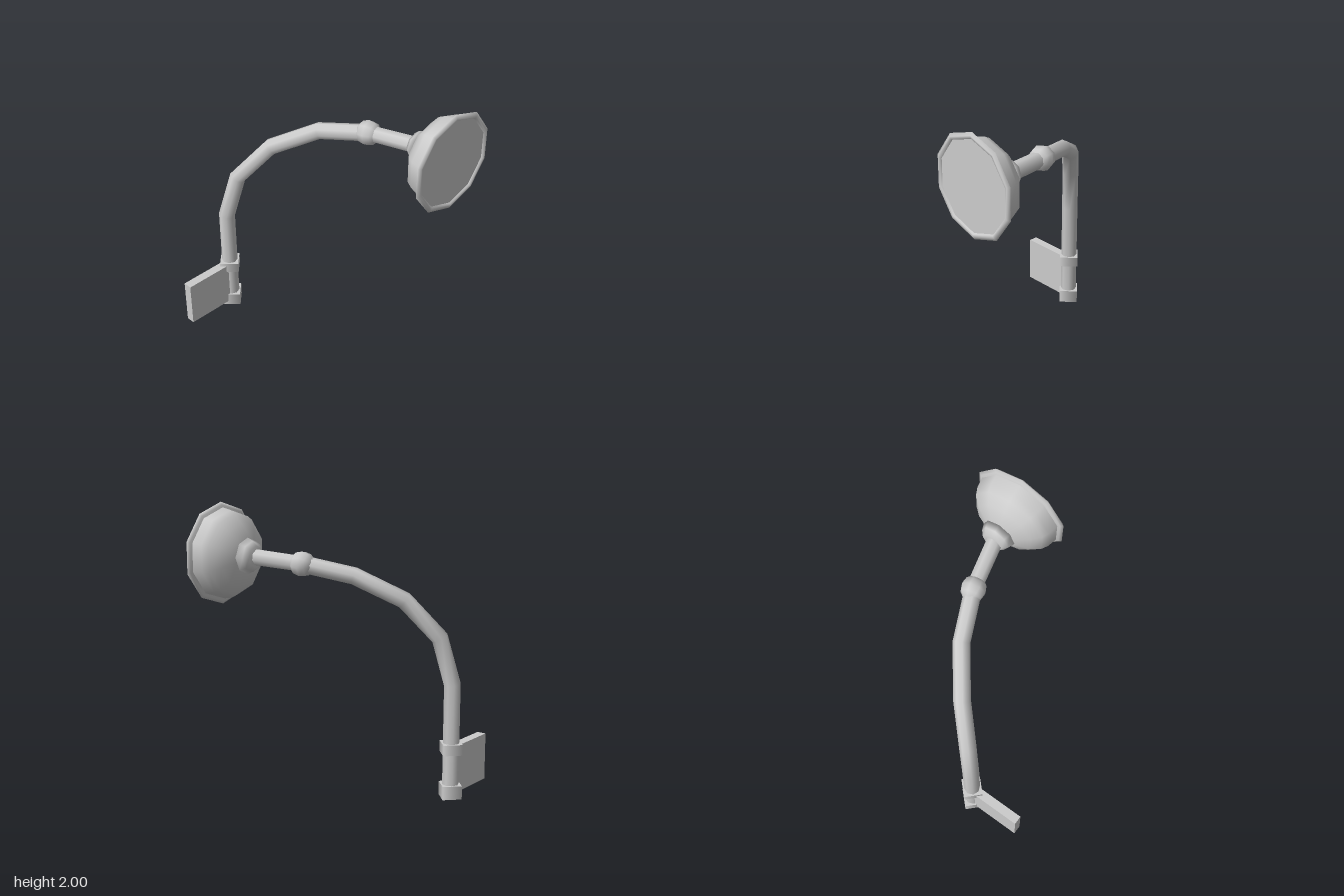
import * as THREE from 'three';

const V = (x, y, z) => new THREE.Vector3(x, y, z);

// Polyline curve whose samples fall exactly on the given points
class BentPath extends THREE.Curve {
  constructor(points) {
    super();
    this.points = points;
  }
  index(u) {
    return Math.round(u * (this.points.length - 1));
  }
  getPointAt(u, target = V(0, 0, 0)) {
    return target.copy(this.points[this.index(u)]);
  }
  getTangentAt(u, target = V(0, 0, 0)) {
    const p = this.points, i = this.index(u);
    target.set(0, 0, 0);
    if (i > 0) target.add(p[i].clone().sub(p[i - 1]).normalize());
    if (i < p.length - 1) target.add(p[i + 1].clone().sub(p[i]).normalize());
    return target.normalize();
  }
}

export function createModel() {
  const model = new THREE.Group();
  model.name = 'wallLamp';
  const material = new THREE.MeshStandardMaterial({ color: 0xcccccc, side: THREE.DoubleSide });

  const add = (name, geometry, x = 0, y = 0, z = 0) => {
    const mesh = new THREE.Mesh(geometry, material);
    mesh.name = name;
    mesh.position.set(x, y, z);
    model.add(mesh);
    return mesh;
  };
  // Turned part with its axis along +x; profile pairs are [x, radius]
  const turned = (name, profile, sides, y, z) => {
    const points = profile.map(([x, r]) => new THREE.Vector2(r, x));
    const geometry = new THREE.LatheGeometry(points, sides, Math.PI / 2);
    geometry.rotateZ(-Math.PI / 2);
    return add(name, geometry, 0, y, z);
  };

  const poleX = -0.705, poleZ = 0.3;

  // Mounting plate and the two square collars
  add('mountingPlate', new THREE.BoxGeometry(0.065, 0.335, 0.405), poleX, 0.198, 0.5025);
  add('lowerCollar', new THREE.CylinderGeometry(0.095, 0.095, 0.095, 4), poleX, 0.0475, poleZ);
  add('upperCollar', new THREE.CylinderGeometry(0.095, 0.095, 0.075, 4), poleX, 0.3525, poleZ);

  // Upright that bends over into the arm
  const armPath = [
    V(poleX, 0.01, poleZ), V(poleX, 0.8, poleZ), V(-0.64, 1.125, 0.235),
    V(-0.465, 1.385, 0.067), V(-0.195, 1.548, -0.133), V(0.13, 1.615, -0.275),
  ];
  add('arm', new THREE.TubeGeometry(new BentPath(armPath), armPath.length - 1, 0.058, 8));

  // Ball joint and the short stem to the shade
  const joint = V(0.13, 1.615, -0.275), stemEnd = V(0.5, 1.643, -0.362);
  const stemDir = stemEnd.clone().sub(joint);
  const turn = new THREE.Quaternion().setFromUnitVectors(V(0, 1, 0), stemDir.clone().normalize());
  add('ballJoint', new THREE.SphereGeometry(0.088, 8, 6), joint.x, joint.y, joint.z)
    .quaternion.copy(turn);
  const mid = joint.clone().add(stemEnd).multiplyScalar(0.5);
  add('stem', new THREE.CylinderGeometry(0.058, 0.056, stemDir.length(), 8), mid.x, mid.y, mid.z)
    .quaternion.copy(turn);

  // Neck, bowl, rim and lens of the lamp head
  const headY = 1.645, headZ = -0.365;
  turned('neck', [[0.457, 0], [0.457, 0.075], [0.49, 0.105], [0.535, 0.125], [0.536, 0]], 8, headY, headZ);
  turned('shade', [[0.532, 0], [0.537, 0.11], [0.59, 0.215], [0.645, 0.28], [0.69, 0.303], [0.765, 0.318]],
    10, headY, headZ);
  turned('rim', [[0.76, 0.312], [0.768, 0.335], [0.78, 0.355], [0.795, 0.335], [0.793, 0.318], [0.78, 0.31]],
    10, headY, headZ);
  turned('lens', [[0.782, 0.313], [0.782, 0]], 10, headY, headZ);

  return model;
}
